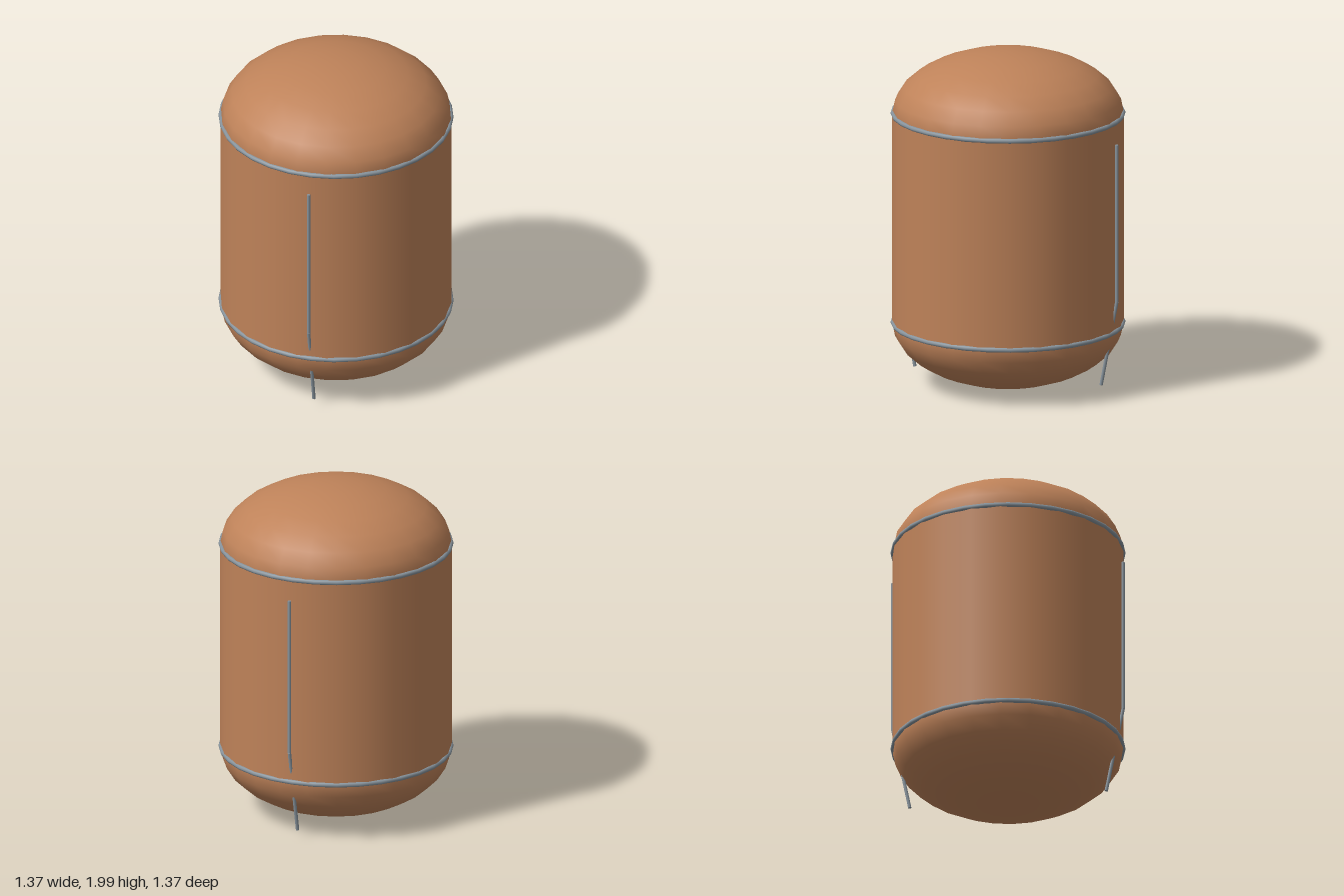
import * as THREE from 'three';

const RADIUS = 0.675, LOW = 0.375, HIGH = 1.632, DOME = 0.368;

export function createModel() {
  const copper = new THREE.MeshStandardMaterial({ color: 0xbe8259 });
  copper.name = 'copper';
  const steel = new THREE.MeshStandardMaterial({ color: 0x88949d });
  steel.name = 'steel';

  const model = new THREE.Group();
  model.name = 'tank';
  const add = (name, geometry, material, parent = model) => {
    const mesh = new THREE.Mesh(geometry, material);
    mesh.name = name;
    parent.add(mesh);
    return mesh;
  };

  // Straight shell
  add('shell', new THREE.CylinderGeometry(RADIUS, RADIUS, HIGH - LOW, 24, 1, true), copper)
    .position.y = (LOW + HIGH) / 2;

  // Flattened domes and the weld bands where they meet the shell
  for (const [side, y, start] of [['upper', HIGH, 0], ['lower', LOW, Math.PI / 2]]) {
    const dome = new THREE.SphereGeometry(RADIUS, 24, 7, 0, Math.PI * 2, start, Math.PI / 2);
    dome.scale(1, DOME / RADIUS, 1);
    add(side + 'Dome', dome, copper).position.y = y;

    const band = new THREE.TorusGeometry(0.67, 0.015, 8, 32);
    band.rotateX(Math.PI / 2);
    add(side + 'Band', band, steel).position.y = y;
  }

  // Thin pipes on opposite sides, bending in through the lower dome
  const top = new THREE.Vector3(0.25, 1.505, 0.639);
  const bend = new THREE.Vector3(0.25, 0.56, 0.639);
  const foot = new THREE.Vector3(0.22, 0.05, 0.541);
  const rod = (a, b) => {
    const g = new THREE.CylinderGeometry(0.01, 0.01, a.distanceTo(b), 8);
    const dir = a.clone().sub(b).normalize();
    g.applyQuaternion(new THREE.Quaternion().setFromUnitVectors(new THREE.Vector3(0, 1, 0), dir));
    const mid = a.clone().add(b).multiplyScalar(0.5);
    return g.translate(mid.x, mid.y, mid.z);
  };
  for (const [name, turn] of [['frontPipe', 0], ['backPipe', Math.PI]]) {
    const pipe = new THREE.Group();
    pipe.name = name;
    pipe.rotation.y = turn;
    add('pipeUpright', rod(top, bend), steel, pipe);
    add('pipeOutlet', rod(bend, foot), steel, pipe);
    model.add(pipe);
  }

  return model;
}
